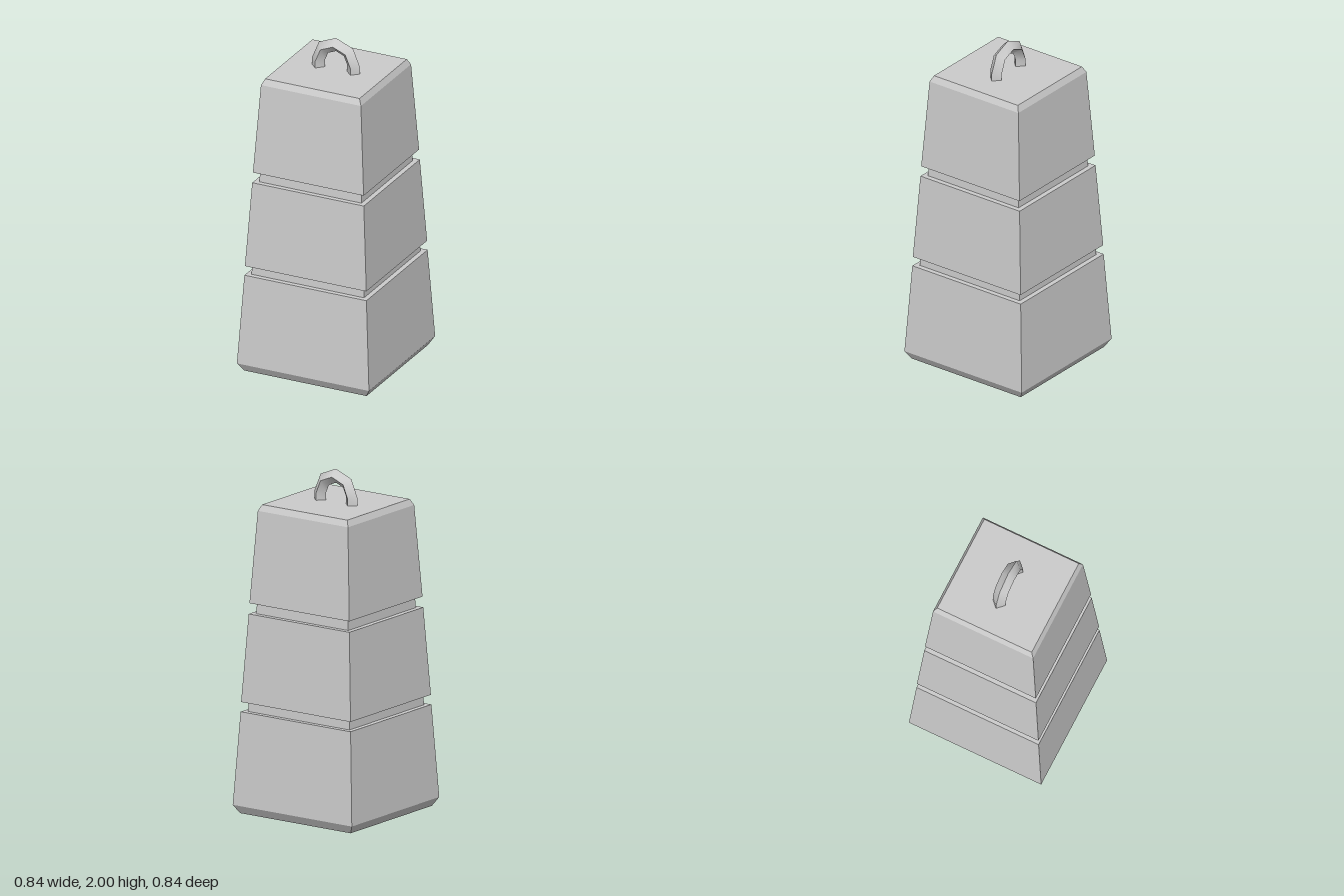
import * as THREE from 'three';
import { toCreasedNormals } from 'three/addons/utils/BufferGeometryUtils.js';

const material = new THREE.MeshStandardMaterial({ color: 0xcccccc });

// Square tapered block with two grooves: [half width, height] from the bottom up
function makeBody() {
  const profile = [
    [0, 0], [0.39, 0], [0.42, 0.05],
    [0.388, 0.595], [0.358, 0.595], [0.355, 0.652], [0.386, 0.652],
    [0.355, 1.167], [0.325, 1.167], [0.321, 1.23], [0.352, 1.23],
    [0.318, 1.77], [0.3, 1.806], [0, 1.806],
  ].map(([w, y]) => new THREE.Vector2(w * Math.SQRT2, y));
  const geometry = new THREE.LatheGeometry(profile, 4, Math.PI / 4);
  const mesh = new THREE.Mesh(toCreasedNormals(geometry, 0.05), material);
  mesh.name = 'weightBody';
  return mesh;
}

// Lifting loop: diamond cross-section swept up a leg, over a half circle and down
function makeLoop() {
  const R = 0.112, t = 0.041, centreY = 1.847, footY = 1.79, steps = 4;
  const stations = [{ a: 0, y: footY }];
  for (let i = 0; i <= steps; i++) stations.push({ a: (i / steps) * Math.PI, y: centreY });
  stations.push({ a: Math.PI, y: footY });

  const positions = [], index = [];
  for (const { a, y } of stations) {
    for (let j = 0; j < 4; j++) {
      const b = (j * Math.PI) / 2;
      const r = R + t * Math.cos(b);
      positions.push(r * Math.cos(a), y + r * Math.sin(a), t * Math.sin(b));
    }
  }
  for (let i = 0; i < stations.length - 1; i++) {
    for (let j = 0; j < 4; j++) {
      const k = (j + 1) % 4;
      const p = i * 4 + j, q = p + 4, s = i * 4 + k, u = s + 4;
      index.push(p, q, u, p, u, s);
    }
  }
  const geometry = new THREE.BufferGeometry();
  geometry.setAttribute('position', new THREE.Float32BufferAttribute(positions, 3));
  geometry.setIndex(index);
  // smooth along the arc, sharp across the diamond's corners
  const mesh = new THREE.Mesh(toCreasedNormals(geometry, 0.95), material);
  mesh.name = 'liftingLoop';
  return mesh;
}

export function createModel() {
  const group = new THREE.Group();
  group.name = 'stackWeight';
  group.add(makeBody(), makeLoop());
  return group;
}
